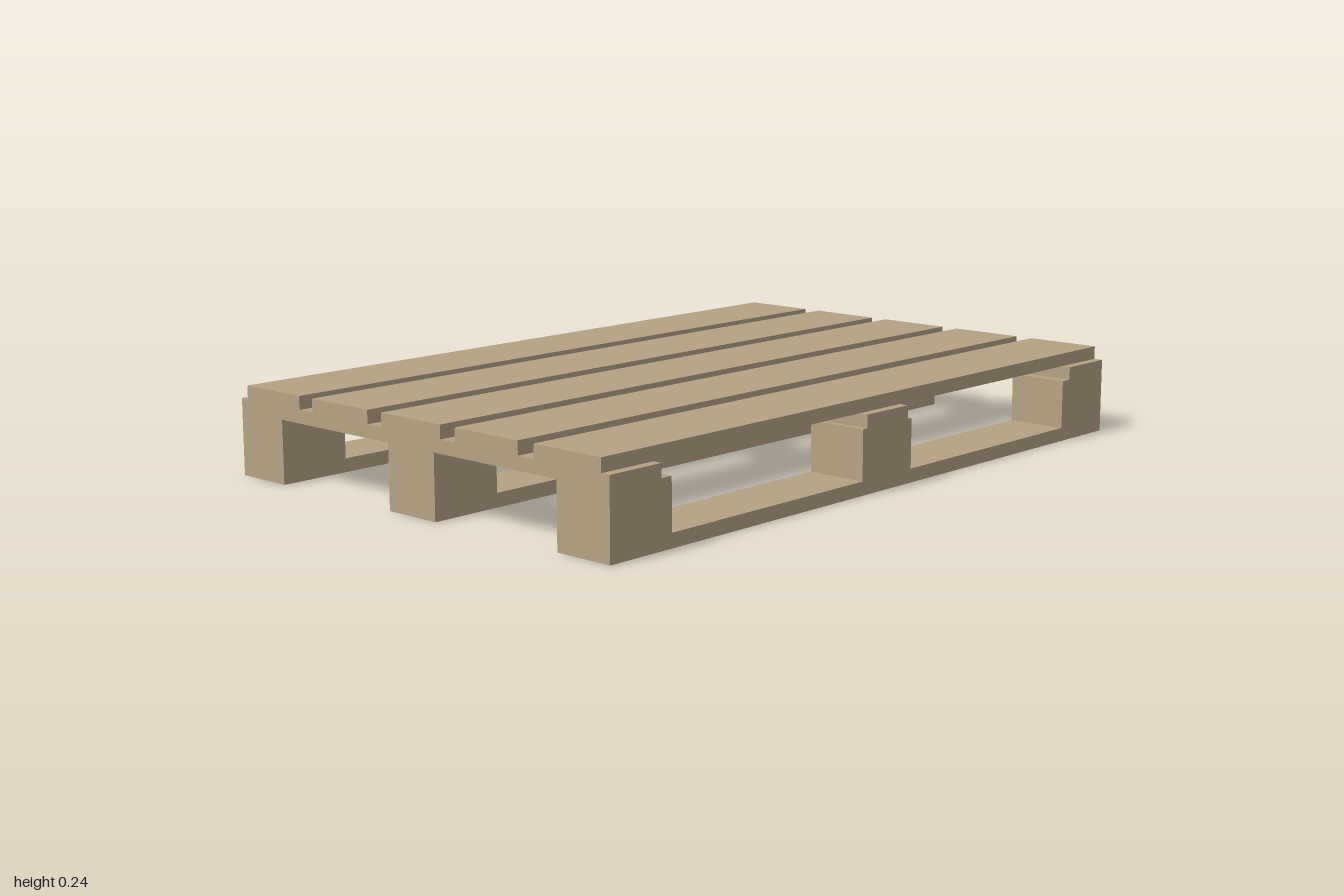
import * as THREE from 'three';

export function createModel() {
  const pallet = new THREE.Group();
  pallet.name = 'pallet';
  const wood = new THREE.MeshStandardMaterial({ color: 0xb4a284, flatShading: true });

  // Board or block given its centre in x and z, its size, and its bottom and top heights
  function addBoard(name, x, z, width, depth, bottom, top) {
    const mesh = new THREE.Mesh(new THREE.BoxGeometry(width, top - bottom, depth), wood);
    mesh.name = name;
    mesh.position.set(x, (bottom + top) / 2, z);
    pallet.add(mesh);
  }

  const length = 2, depth = 1.334;
  const runnerTop = 0.037, blockTop = 0.17, stringerTop = 0.205, deckTop = 0.241;
  const blockDepth = 0.167, blockWidth = 0.2, stringerWidth = 0.167;

  for (const side of [-1, 0, 1]) {
    // Bottom runners along the length
    const z = side * (depth - blockDepth) / 2;
    addBoard('bottomRunner', 0, z, length, blockDepth, 0, runnerTop);

    // Three spacer blocks on each runner
    for (const column of [-1, 0, 1]) {
      addBoard('spacerBlock', column * (length - blockWidth) / 2, z, blockWidth, blockDepth, runnerTop, blockTop);
    }

    // Cross stringers joining the blocks from front to back
    addBoard('crossStringer', side * (length - stringerWidth) / 2, 0, stringerWidth, depth, blockTop, stringerTop);
  }

  // Five top deck slats
  for (let i = -2; i <= 2; i++) {
    addBoard('deckSlat', 0, i * 0.267, length, 0.215, stringerTop, deckTop);
  }

  return pallet;
}
